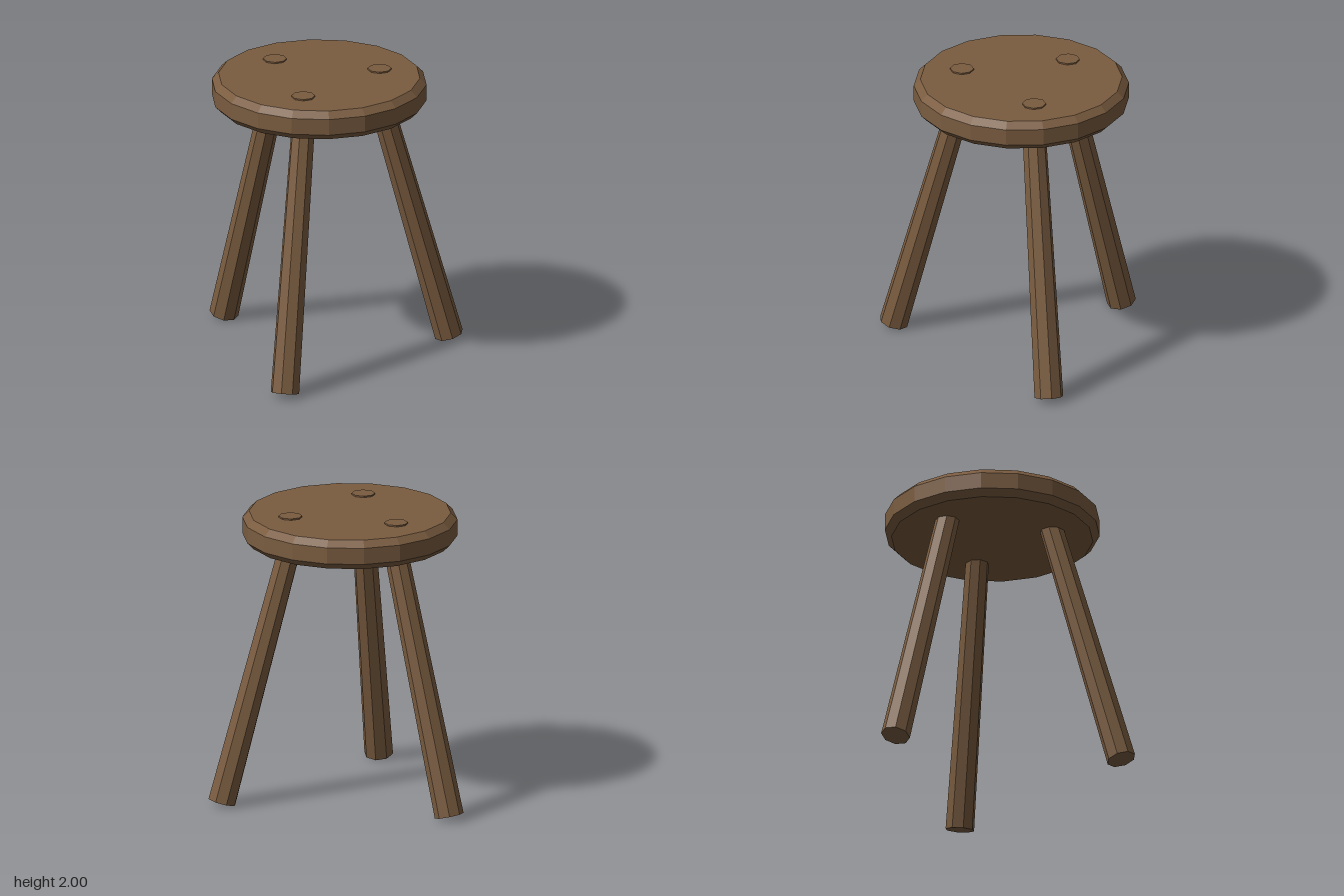
import * as THREE from 'three';

export function createModel() {
  const wood = new THREE.MeshStandardMaterial({ color: 0x7a5c40, flatShading: true });
  wood.name = 'brown wood';

  const stool = new THREE.Group();
  stool.name = 'stool';
  const add = (parent, geometry, name) => {
    const mesh = new THREE.Mesh(geometry, wood);
    mesh.name = name;
    parent.add(mesh);
    return mesh;
  };

  // Everything is arranged around the seat axis, slightly forward of the origin
  const body = new THREE.Group();
  body.name = 'body';
  body.position.z = 0.137;
  stool.add(body);

  // Seat: 18-sided disc with chamfered rims
  const profile = [[0, 1.787], [0.682, 1.787], [0.727, 1.832], [0.727, 1.945], [0.682, 1.99], [0, 1.99]]
    .map(([r, y]) => new THREE.Vector2(r, y));
  add(body, new THREE.LatheGeometry(profile, 18), 'seat');

  // Three splayed legs, each with a peg end showing through the seat
  const foot = new THREE.Vector3(0, 0.03, 0.907);
  const head = new THREE.Vector3(0, 1.83, 0.41);
  const axis = head.clone().sub(foot);
  const legGeometry = new THREE.CylinderGeometry(0.08, 0.099, axis.length(), 8);
  const pegGeometry = new THREE.CylinderGeometry(0.08, 0.08, 0.03, 8);

  [['back', Math.PI], ['left', Math.PI / 3], ['right', -Math.PI / 3]].forEach(([side, angle]) => {
    const pivot = new THREE.Group();
    pivot.name = side + 'LegGroup';
    pivot.rotation.y = angle;
    body.add(pivot);

    const leg = add(pivot, legGeometry, side + 'Leg');
    leg.position.copy(foot).add(head).multiplyScalar(0.5);
    leg.rotation.x = Math.atan2(axis.z, axis.y);

    const peg = add(body, pegGeometry, side + 'Peg');
    peg.position.set(Math.sin(angle) * 0.422, 1.985, Math.cos(angle) * 0.422);
  });

  return stool;
}
